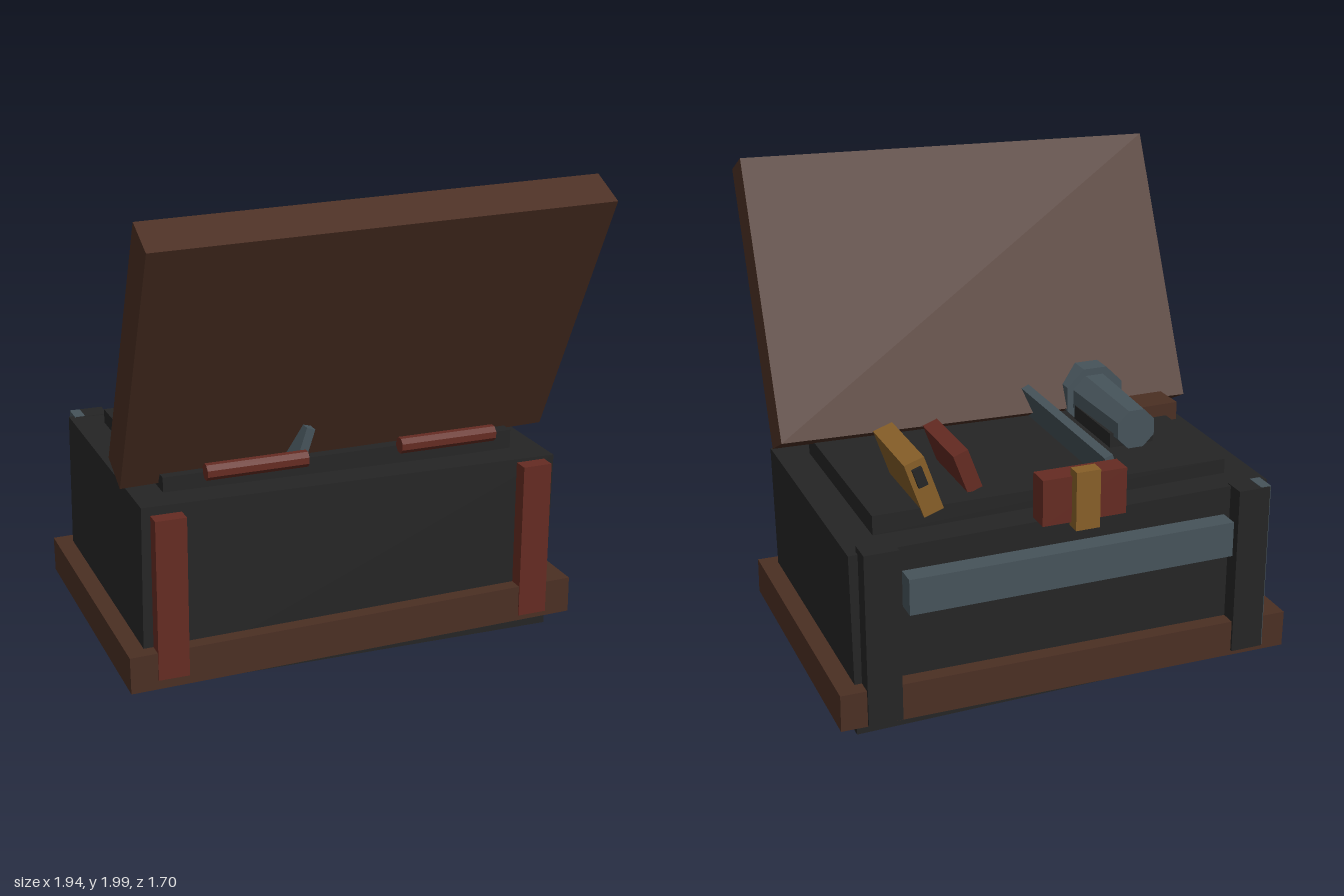
import * as THREE from 'three';

const mat = (name, color) => {
  const m = new THREE.MeshStandardMaterial({ color });
  m.name = name;
  return m;
};

export function createModel() {
  const group = new THREE.Group();
  const dark = mat('charcoal', 0x252525);
  const brown = mat('brown wood', 0x4b2f23);
  const red = mat('dark red', 0x652b22);
  const steel = mat('blue grey steel', 0x46535a);
  const ochre = mat('ochre', 0x875f28);

  // Box by size and centre, with optional tilt (rx first, then rz)
  function box(name, material, size, pos, rz = 0, rx = 0, ry = 0) {
    const mesh = new THREE.Mesh(new THREE.BoxGeometry(...size), material);
    mesh.name = name;
    mesh.position.set(...pos);
    mesh.rotation.set(rx, ry, rz, 'ZYX');
    group.add(mesh);
    return mesh;
  }

  // Faceted cylinder lying along z; r0 is the +z end
  function barrel(name, material, r0, r1, length, pos) {
    const geo = new THREE.CylinderGeometry(r0, r1, length, 8).toNonIndexed();
    geo.rotateY(Math.PI / 8).rotateX(Math.PI / 2);
    geo.computeVertexNormals();
    const mesh = new THREE.Mesh(geo, material);
    mesh.name = name;
    mesh.position.set(...pos);
    group.add(mesh);
  }

  // Chest body, base trim and raised top
  box('chestBody', dark, [1.785, 0.77, 1.145], [0, 0.402, -0.093], -0.014);
  box('baseTrim', brown, [1.935, 0.155, 1.27], [0, 0.14, -0.095], 0.01);
  box('topPlate', dark, [1.52, 0.08, 0.885], [0, 0.82, -0.093]);

  // Open lid leaning over the front
  box('lid', brown, [1.85, 1.207, 0.17], [-0.003, 1.405, 0.49], 0.021, 0.482);

  // Front straps, rear posts and hinge rods
  for (const s of [-1, 1]) {
    box('frontStrap', red, [0.127, 0.67, 0.07], [s * 0.79, 0.428, 0.51], s < 0 ? -0.006 : 0.002);
    box('rearPost', dark, [0.14, 0.725, 0.1], [s * 0.79, 0.439, -0.69]);
    const geo = new THREE.CylinderGeometry(0.034, 0.034, 0.42, 8).toNonIndexed();
    geo.rotateY(Math.PI / 8).rotateZ(Math.PI / 2);
    geo.computeVertexNormals();
    const rod = new THREE.Mesh(geo, red);
    rod.name = 'hingeRod';
    rod.position.set(s * 0.41, 0.902, 0.457);
    group.add(rod);
  }
  box('postPlate', steel, [0.045, 0.725, 0.094], [-0.843, 0.441, -0.688]);

  // Steel bar across the back, and the latch above it
  box('rearBar', steel, [1.38, 0.15, 0.085], [0, 0.605, -0.715]);
  box('latch', red, [0.35, 0.19, 0.095], [-0.005, 0.925, -0.76]);
  box('latchClasp', ochre, [0.1, 0.24, 0.06], [0, 0.93, -0.82]);

  // Leaning steel plank
  box('plank', steel, [0.037, 0.16, 1.09], [-0.195, 0.935, -0.117], -0.32);

  // Leaning blocks on the top
  box('redBlock', red, [0.065, 0.175, 0.36], [0.34, 0.947, -0.28], -0.35);
  box('ochreBlock', ochre, [0.085, 0.24, 0.385], [0.553, 0.952, -0.357], -0.33);
  box('blockEndPlate', dark, [0.04, 0.08, 0.016], [0.572, 1.0, -0.557], -0.33);

  // Lamp on a cradle, its head meeting the lid
  box('lampCradle', dark, [0.2, 0.075, 0.36], [-0.472, 0.885, -0.07]);
  barrel('lampBarrel', steel, 0.107, 0.09, 0.43, [-0.472, 0.945, -0.075]);
  barrel('lampHead', steel, 0.14, 0.14, 0.12, [-0.475, 0.945, 0.19]);

  // Small flat wooden block
  box('smallBlock', brown, [0.17, 0.08, 0.155], [-0.725, 0.875, 0.075], 0, 0, 0.03);

  return group;
}
